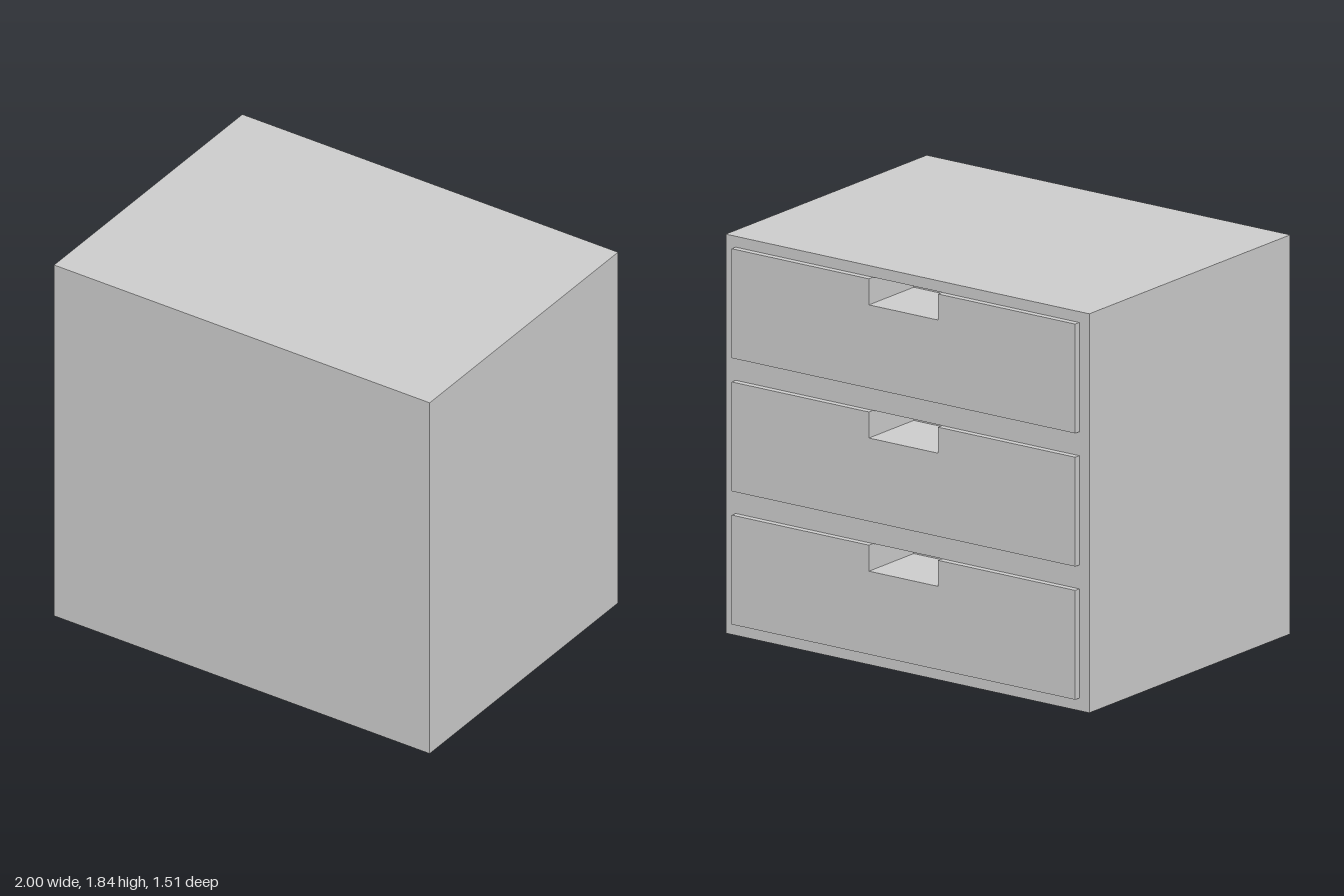
import * as THREE from 'three';
import { mergeGeometries } from 'three/addons/utils/BufferGeometryUtils.js';

const W = 2, H = 1.84, BACK = -0.725, FRONT = 0.755, DEPTH = FRONT - BACK;
const DRAWER = { w: 1.89, h: 0.504, t: 0.03 };
const GRIP = { w: 0.38, h: 0.12, d: 0.3 };
const drawerBottoms = [0, 1, 2].map(i => 0.058 + i * 0.614);

// Box without its -z side; inward turns the faces to the inside
function openBox(w, h, d, y, inward = false) {
  const g = new THREE.BoxGeometry(w, h, d);
  let index = Array.from(g.index.array).slice(0, 30);
  if (inward) index = index.reverse();
  g.setIndex(index);
  g.clearGroups();
  g.computeVertexNormals();
  return g.translate(0, y + h / 2, BACK + d / 2);
}

function polygon(points) {
  return new THREE.Shape(points.map(([x, y]) => new THREE.Vector2(x, y)));
}

function rectangle(w, y0, y1) {
  return polygon([[-w / 2, y0], [w / 2, y0], [w / 2, y1], [-w / 2, y1]]);
}

export function createModel() {
  const group = new THREE.Group();
  const material = new THREE.MeshStandardMaterial({ color: 0xcccccc });

  // Cabinet: shell, drawer side pierced by grip openings, recesses behind them
  const face = rectangle(W, 0, H);
  const pockets = drawerBottoms.map(y => {
    const top = y + DRAWER.h;
    face.holes.push(rectangle(GRIP.w, top - GRIP.h, top));
    return openBox(GRIP.w, GRIP.h, GRIP.d, top - GRIP.h, true);
  });
  const faceGeometry = new THREE.ShapeGeometry(face).rotateY(Math.PI).translate(0, 0, BACK);
  const cabinet = new THREE.Mesh(
    mergeGeometries([openBox(W, H, DEPTH, 0), faceGeometry, ...pockets]), material);
  cabinet.name = 'cabinet';
  group.add(cabinet);

  // Drawer panels, each with a notch in the top edge
  const a = DRAWER.w / 2, b = GRIP.w / 2, h = DRAWER.h, n = h - GRIP.h;
  const panel = new THREE.ExtrudeGeometry(
    polygon([[-a, 0], [a, 0], [a, h], [b, h], [b, n], [-b, n], [-b, h], [-a, h]]),
    { depth: DRAWER.t, bevelEnabled: false });
  ['lower', 'middle', 'upper'].forEach((level, i) => {
    const drawer = new THREE.Mesh(panel, material);
    drawer.name = level + 'DrawerPanel';
    drawer.position.set(0, drawerBottoms[i], BACK - DRAWER.t);
    group.add(drawer);
  });
  return group;
}
